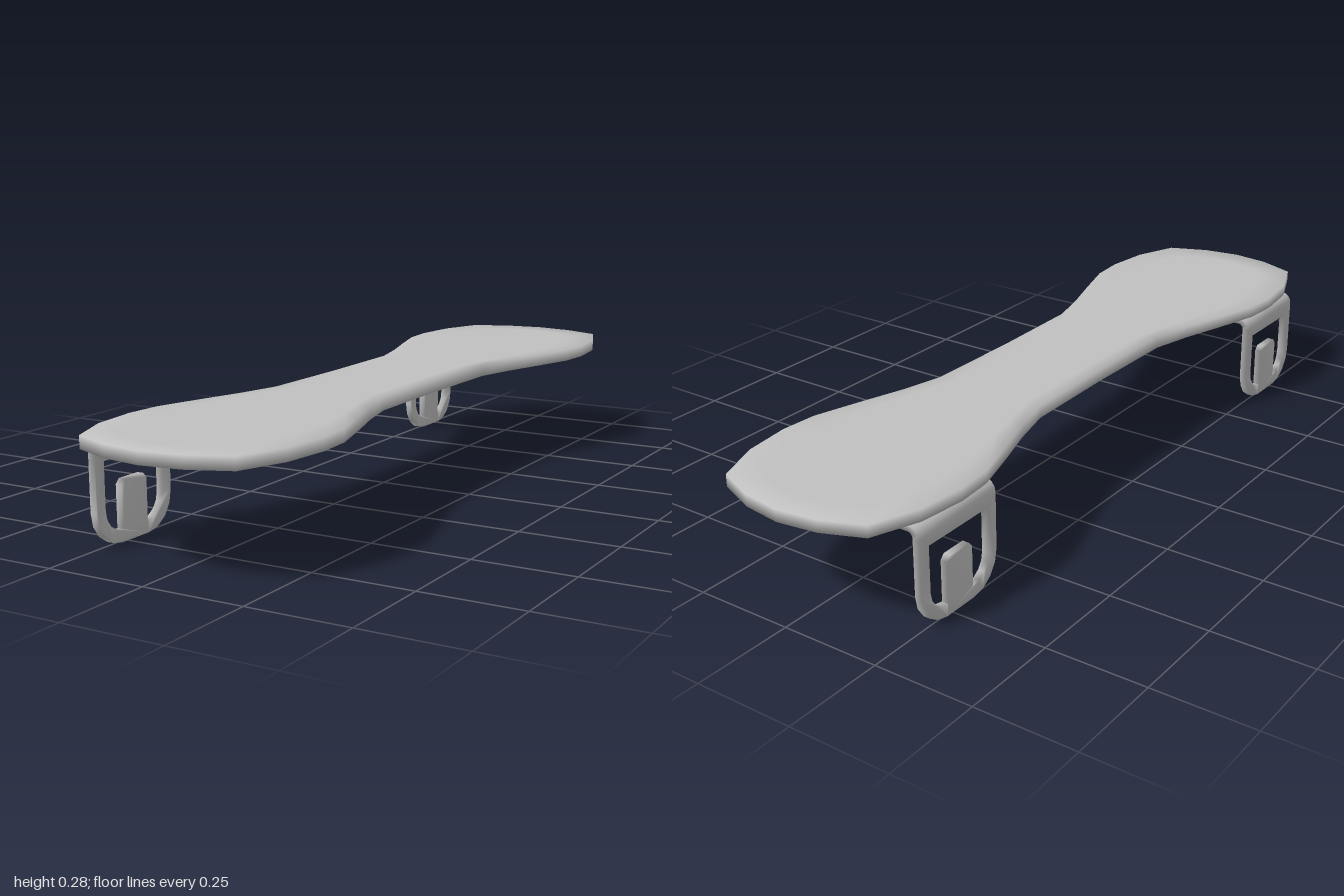
import * as THREE from 'three';
import { mergeVertices } from 'three/addons/utils/BufferGeometryUtils.js';

const V = (x, y) => new THREE.Vector2(x, y);
const HALF = 0.132, THICK = 0.017, INNER = 0.013, BEND = Math.PI / 2;

// Deck: outline rings (inset, rim, rim, inset) joined and capped, smooth shaded
function deckGeometry() {
  const quarter = [[0.1, 0.986], [0.2, 0.945], [0.245, 0.83], [0.259, 0.71], [0.252, 0.615],
    [0.215, 0.49], [0.18, 0.38], [0.153, 0.27]];
  const right = [
    ...quarter.map(([x, z]) => [x, -z]), [0.149, 0], ...quarter.slice().reverse(),
  ];
  const outline = [[0, -1], ...right, [0, 1], ...right.slice().reverse().map(([x, z]) => [-x, z])];
  const n = outline.length;
  const rings = [[0.74, 0.93, 0.255], [1, 1, 0.255], [1, 1, 0.285], [0.74, 0.93, 0.285]];
  const pos = [], index = [];
  for (const [sx, sz, y] of rings) for (const [x, z] of outline) pos.push(x * sx, y, z * sz);
  for (let k = 0; k < 3; k++) {
    for (let i = 0; i < n; i++) {
      const a = k * n + i, b = k * n + (i + 1) % n;
      index.push(a, a + n, b, b, a + n, b + n);
    }
  }
  const inset = outline.map(([x, z]) => V(x * 0.74, z * 0.93));
  for (const [a, b, c] of THREE.ShapeUtils.triangulateShape(inset, [])) {
    index.push(a, b, c, a + 3 * n, c + 3 * n, b + 3 * n);
  }
  const g = new THREE.BufferGeometry();
  g.setAttribute('position', new THREE.Float32BufferAttribute(pos, 3));
  g.setIndex(index);
  g.computeVertexNormals();
  return g;
}

// Flat U-shaped plate hanging from s = 0 down to s = -len, with an optional tongue in its hole
function plate(len, tongue) {
  const corner = (cx, cy, rx, ry, from) => [0, 1, 2, 3, 4].map((i) => {
    const a = from + i * Math.PI / 8;
    return V(cx + rx * Math.cos(a), cy + ry * Math.sin(a));
  });
  const shape = new THREE.Shape([
    V(HALF, 0), V(-HALF, 0),
    ...corner(-HALF + 0.085, -len + 0.085, 0.085, 0.085, Math.PI),
    ...corner(HALF - 0.085, -len + 0.085, 0.085, 0.085, Math.PI * 1.5),
  ]);
  const w = HALF - 0.031, b = -len + 0.03, top = -0.026;
  const tongueTop = -len + 0.144;
  const tab = tongue ? [
    V(-0.044, b), V(-0.044, tongueTop - 0.012), V(-0.033, tongueTop),
    V(0.033, tongueTop), V(0.044, tongueTop - 0.012), V(0.044, b),
  ] : [];
  shape.holes.push(new THREE.Path([
    V(w, top), V(-w, top),
    ...corner(-w + 0.055, b + 0.055, 0.055, 0.055, Math.PI), ...tab,
    ...corner(w - 0.055, b + 0.055, 0.055, 0.055, Math.PI * 1.5),
  ]));
  return new THREE.ExtrudeGeometry(shape, { depth: THICK, bevelEnabled: false });
}

// Bracket: two plates and an elbow laid flat, then folded into one L
function bracketGeometry() {
  const parts = [
    plate(0.225, true),
    new THREE.BoxGeometry(HALF * 2, BEND, THICK, 1, 4, 1)
      .translate(0, BEND / 2, THICK / 2).toNonIndexed(),
    plate(0.224, false).rotateZ(Math.PI).translate(0, BEND, 0),
  ];
  const out = [];
  for (const part of parts) {
    const p = part.attributes.position;
    for (let i = 0; i < p.count; i += 3) {
      const tri = [i, i + 1, i + 2];
      // leave out the walls inside the two seams
      if ([0, BEND].some((seam) => tri.every((j) => Math.abs(p.getY(j) - seam) < 1e-4))) continue;
      for (const j of tri) {
        const s = p.getY(j), angle = Math.PI - Math.min(Math.max(s, 0), BEND);
        const r = INNER + p.getZ(j);
        out.push(
          -0.227 + r * Math.cos(angle) + Math.max(s - BEND, 0),
          0.225 + r * Math.sin(angle) + Math.min(s, 0),
          p.getX(j),
        );
      }
    }
  }
  let g = new THREE.BufferGeometry();
  g.setAttribute('position', new THREE.Float32BufferAttribute(out, 3));
  g = mergeVertices(g, 1e-4);
  g.computeVertexNormals();
  return g;
}

export function createModel() {
  const grey = new THREE.MeshStandardMaterial({ color: 0xc0c0c0 });
  grey.name = 'grey';
  const model = new THREE.Group();
  model.name = 'bracketedBoard';

  const deck = new THREE.Mesh(deckGeometry(), grey);
  deck.name = 'deck';
  model.add(deck);

  // One bracket under each wide end
  const bracket = bracketGeometry();
  for (const [name, z] of [['frontBracket', 0.722], ['backBracket', -0.722]]) {
    const mesh = new THREE.Mesh(bracket, grey);
    mesh.name = name;
    mesh.position.z = z;
    model.add(mesh);
  }
  return model;
}
